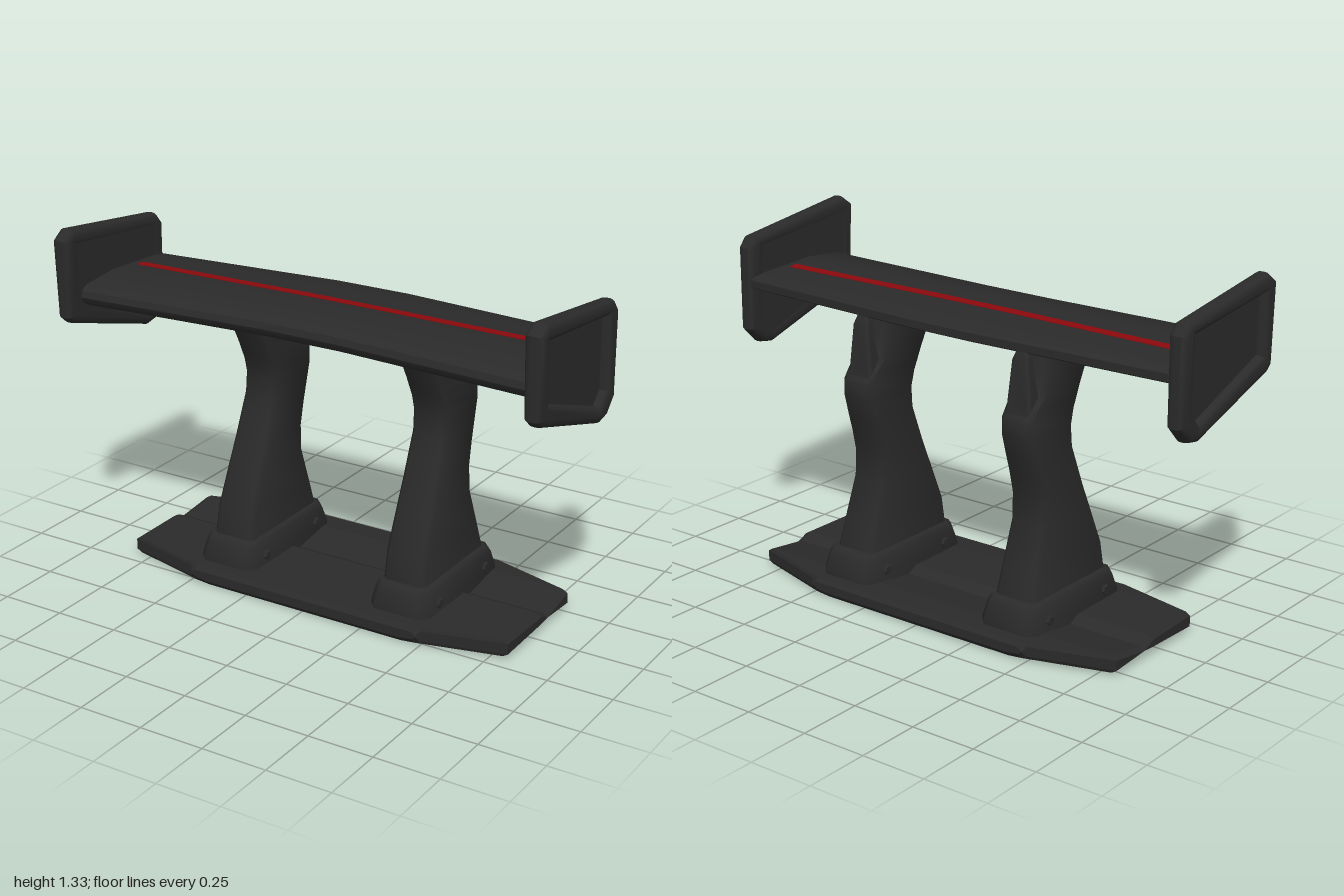
import * as THREE from 'three';
import { toCreasedNormals } from 'three/addons/utils/BufferGeometryUtils.js';

const body = new THREE.MeshStandardMaterial({ color: 0x2a2a2a });
body.name = 'dark grey';
const stripeRed = new THREE.MeshStandardMaterial({ color: 0x8c090c });
stripeRed.name = 'red';

// Skin between rings of [x, y, z] points, closed by fan caps, wound outward
function loft(rings, crease = 0.6) {
  const n = rings[0].length;
  const tris = [];
  const middle = (r) => [0, 1, 2].map((k) => r.reduce((s, p) => s + p[k], 0) / n);
  const first = rings[0], last = rings[rings.length - 1];
  const a0 = middle(first), a1 = middle(last);
  for (let j = 0; j < n; j++) {
    const k = (j + 1) % n;
    for (let i = 0; i < rings.length - 1; i++) {
      const a = rings[i], b = rings[i + 1];
      tris.push([a[j], a[k], b[k]], [a[j], b[k], b[j]]);
    }
    tris.push([a0, first[k], first[j]], [a1, last[j], last[k]]);
  }
  let volume = 0;
  for (const [a, b, c] of tris) {
    volume += a[0] * (b[1] * c[2] - b[2] * c[1]) + a[1] * (b[2] * c[0] - b[0] * c[2]) + a[2] * (b[0] * c[1] - b[1] * c[0]);
  }
  if (volume < 0) tris.forEach((t) => t.reverse());
  const geo = new THREE.BufferGeometry();
  geo.setAttribute('position', new THREE.Float32BufferAttribute(tris.flat(2), 3));
  return toCreasedNormals(geo, crease);
}

// Horizontal rectangle with cut corners
function slice(cx, y, front, back, half, cut) {
  return [
    [half, front - cut], [half - cut, front], [cut - half, front], [-half, front - cut],
    [-half, back + cut], [cut - half, back], [half - cut, back], [half, back + cut],
  ].map(([x, z]) => [cx + x, y, z]);
}

function add(parent, name, geo, material = body) {
  const mesh = new THREE.Mesh(geo, material);
  mesh.name = name;
  parent.add(mesh);
  return mesh;
}

// Extrude a (z, y) outline along x
function sideExtrude(points, hole, options) {
  const shape = new THREE.Shape(points.map(([z, y]) => new THREE.Vector2(z, y)));
  if (hole) shape.holes.push(new THREE.Path(hole.map(([z, y]) => new THREE.Vector2(z, y))));
  const geo = new THREE.ExtrudeGeometry(shape, options);
  geo.rotateY(-Math.PI / 2);
  geo.translate(options.depth / 2, 0, 0);
  return toCreasedNormals(geo, 0.6);
}

// Faceted mounting plate with a stepped valley across its middle
function basePlate() {
  const stations = [ // z, half width, bottom, top
    [-0.39, 0.49, 0.022, 0.055], [-0.375, 0.5, 0.004, 0.07], [-0.28, 0.815, 0.004, 0.073],
    [-0.11, 0.82, 0.02, 0.05], [-0.06, 0.82, 0.016, 0.073],
    [0.19, 0.815, 0.004, 0.075], [0.265, 0.5, 0.002, 0.072], [0.28, 0.49, 0.02, 0.055],
  ];
  return loft(stations.map(([z, w, lo, hi]) => [
    [-w + 0.02, lo + 0.006], [-0.42, lo], [0.42, lo], [w - 0.02, lo + 0.006], [w, lo + 0.018], [w, hi - 0.012],
    [w - 0.02, hi], [0, hi], [-w + 0.02, hi], [-w, hi - 0.012], [-w, lo + 0.018],
  ].map(([x, y]) => [x, y, z])), 0.15);
}

// Wing section: z, y and how it sweeps (1 leading, -1 trailing, 0 fixed)
const wingProfile = [
  [0.245, 1.045, 1], [0.265, 1.058, 1], [0.275, 1.08, 1], [0.268, 1.104, 1], [0.245, 1.122, 1],
  [0.12, 1.137, 0], [0.015, 1.132, 0], [-0.025, 1.13, 0], [-0.12, 1.126, 0],
  [-0.23, 1.12, -1], [-0.25, 1.108, -1], [-0.25, 1.08, -1], [-0.23, 1.07, -1],
  [-0.18, 1.08, -1], [-0.155, 1.05, -1], [-0.02, 1.015, 0], [0.1, 1.012, 0],
];
const sweepAt = (x) => Math.max(0, Math.abs(x) - 0.15) / 0.79;
// Slight sideways lean and droop of the blade
const riseAt = (x) => 0.006 * x - 0.006 * sweepAt(x);

function wing() {
  return loft([-0.94, -0.55, -0.15, 0.15, 0.55, 0.94].map((x) => {
    const s = sweepAt(x);
    return wingProfile.map(([z, y, k]) => [x, y + riseAt(x), z + (k > 0 ? 0.04 : k < 0 ? 0.05 : 0) * s]);
  }));
}

function stripe() {
  return loft([-0.9, -0.55, -0.15, 0.15, 0.55, 0.9].map((x) =>
    [[0.015, 1.128], [0.015, 1.134], [-0.025, 1.132], [-0.025, 1.126]].map(([z, y]) => [x, y + riseAt(x), z])));
}

export function createModel() {
  const group = new THREE.Group();
  group.name = 'rearWing';
  add(group, 'basePlate', basePlate());
  add(group, 'wingBlade', wing());
  add(group, 'wingStripe', stripe(), stripeRed);

  const plateOutline = [
    [0.39, 1.30], [0.34, 1.335], [-0.17, 1.27], [-0.203, 1.23], [-0.203, 0.91],
    [-0.145, 0.85], [-0.09, 0.84], [0.35, 0.975], [0.378, 1.0],
  ];
  const recess = [[0.315, 1.265], [-0.125, 1.22], [-0.13, 0.95], [-0.085, 0.905], [0.31, 1.045]];
  const frameGeo = sideExtrude(plateOutline, recess, {
    depth: 0.016, bevelThickness: 0.027, bevelSize: 0.025, bevelOffset: -0.025, bevelSegments: 4,
  });
  const panelGeo = sideExtrude(recess.map(([z, y]) => [0.09 + (z - 0.09) * 1.17, 1.085 + (y - 1.085) * 1.2]), null, {
    depth: 0.036, bevelEnabled: false,
  });

  // Support stations: y, front z, back z, half width
  const strut = [
    [0.16, 0.172, -0.285, 0.087], [0.28, 0.152, -0.245, 0.084], [0.43, 0.09, -0.194, 0.08],
    [0.53, 0.048, -0.194, 0.077], [0.62, 0.015, -0.218, 0.074], [0.69, -0.01, -0.242, 0.071],
    [0.77, -0.015, -0.265, 0.07], [0.83, 0.004, -0.267, 0.068], [0.87, 0.025, -0.24, 0.067],
    [0.91, 0.045, -0.195, 0.066], [1.0, 0.095, -0.17, 0.065], [1.07, 0.13, -0.16, 0.065],
  ];
  const prong = [[0.82, -0.17, -0.258, 0.06], [0.88, -0.18, -0.248, 0.052], [1.04, -0.2, -0.243, 0.035], [1.075, -0.205, -0.23, 0.025]];
  const foot = [[0.05, 0.22, -0.335, 0.123], [0.09, 0.22, -0.335, 0.122], [0.15, 0.2, -0.315, 0.113], [0.168, 0.192, -0.307, 0.106], [0.175, 0.18, -0.295, 0.096]];
  const boltGeo = toCreasedNormals(new THREE.CylinderGeometry(0.017, 0.026, 0.016, 6).rotateZ(-Math.PI / 2), 0.4);

  for (const side of [-1, 1]) {
    const label = side > 0 ? 'left' : 'right';

    // End plate: rounded frame with a sunken outer panel
    const endPlate = new THREE.Group();
    endPlate.name = label + 'EndPlate';
    endPlate.position.x = side * 0.965;
    add(endPlate, 'plateFrame', frameGeo);
    add(endPlate, 'plateRecess', panelGeo).position.x = side * -0.015;
    group.add(endPlate);

    // Upright with its foot, rear prong and bolts
    const upright = new THREE.Group();
    upright.name = label + 'Upright';
    add(upright, 'strut', loft(strut.map(([y, f, b, w]) => slice(side * (0.375 - 0.015 * y), y, f, b, w, 0.016)), 0.9));
    add(upright, 'rearProng', loft(prong.map(([y, f, b, w]) => slice(side * 0.36, y, f, b, w, 0.01))));
    add(upright, 'foot', loft(foot.map(([y, f, b, w]) => slice(side * 0.375, y, f, b, w, 0.03)), 0.9));
    for (const z of [0.115, -0.23]) {
      for (const dir of [-1, 1]) {
        const bolt = add(upright, 'bolt', boltGeo);
        bolt.position.set(side * 0.375 + dir * 0.119, 0.105, z);
        if (dir < 0) bolt.rotation.y = Math.PI;
      }
    }
    group.add(upright);
  }
  return group;
}
